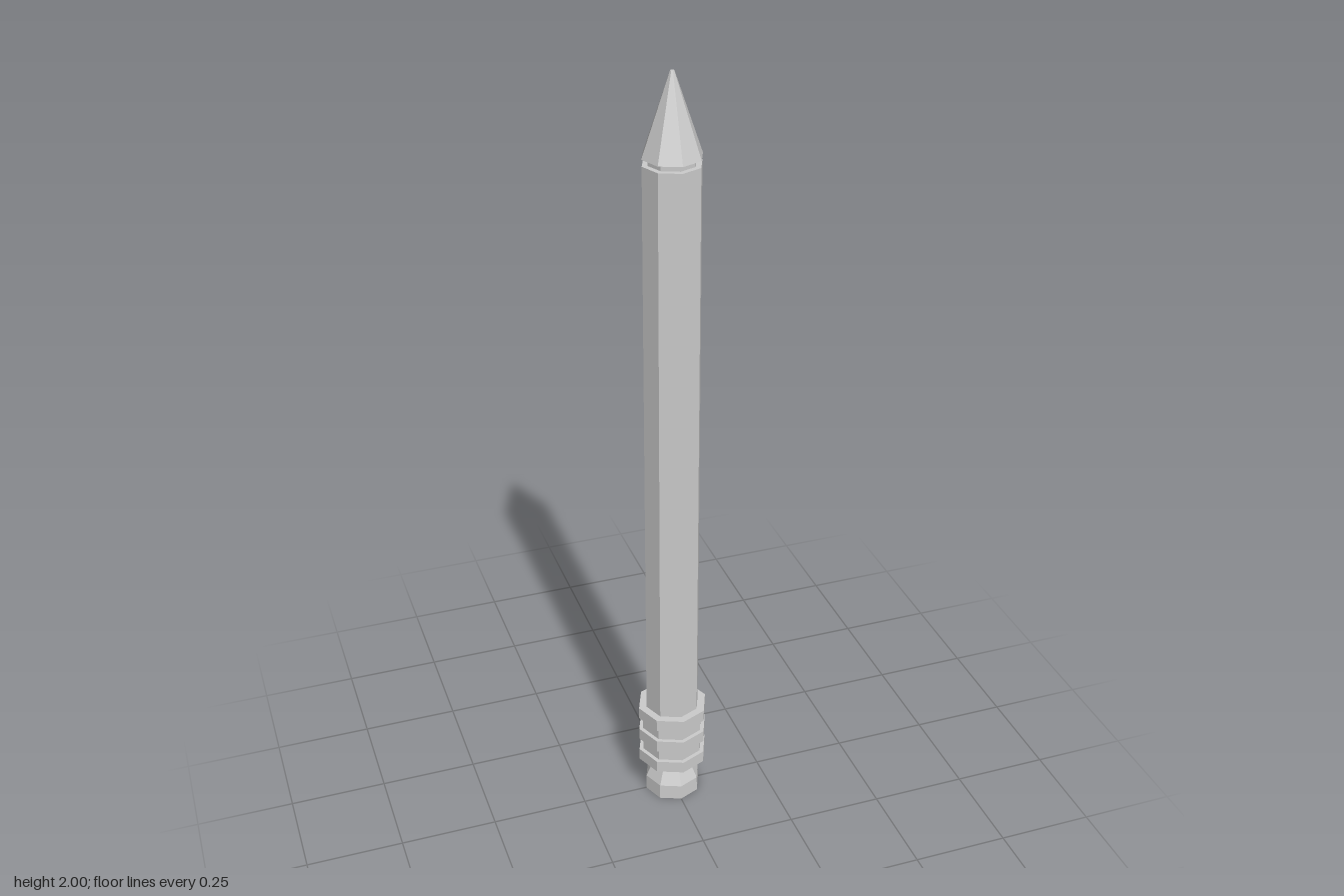
import * as THREE from 'three';

const SIDES = 8;

export function createModel() {
  const model = new THREE.Group();
  const material = new THREE.MeshStandardMaterial({ color: 0xcccccc, flatShading: true });

  // Turns a closed [radius, height] profile, listed bottom to top, into an octagonal part
  const turn = (name, profile) => {
    const points = profile.map(([r, y]) => new THREE.Vector2(r, y));
    const mesh = new THREE.Mesh(new THREE.LatheGeometry(points, SIDES), material);
    mesh.name = name;
    model.add(mesh);
  };

  // Flared foot, narrow where it meets the grip
  turn('foot', [[0, 0], [0.075, 0], [0.074, 0.042], [0.045, 0.106], [0, 0.106]]);

  // Grip: three raised rings with shallow grooves between them
  const grip = [[0, 0.106]];
  for (let i = 0; i < 3; i++) {
    const y = 0.106 + i * 0.069;
    if (i > 0) grip.push([0.082, y]);
    grip.push([0.093, y], [0.093, y + 0.033]);
    if (i < 2) grip.push([0.082, y + 0.033]);
  }
  grip.push([0, 0.277]);
  turn('ringedGrip', grip);

  // Long straight shaft
  turn('shaft', [[0, 0.277], [0.072, 0.277], [0.072, 1.788], [0, 1.788]]);

  // Thin recessed neck under the point
  turn('neck', [[0, 1.788], [0.058, 1.788], [0.058, 1.804], [0, 1.804]]);

  // Pointed tip with a tiny blunt end
  turn('tip', [[0, 1.804], [0.073, 1.804], [0.005, 2], [0, 2]]);

  return model;
}
